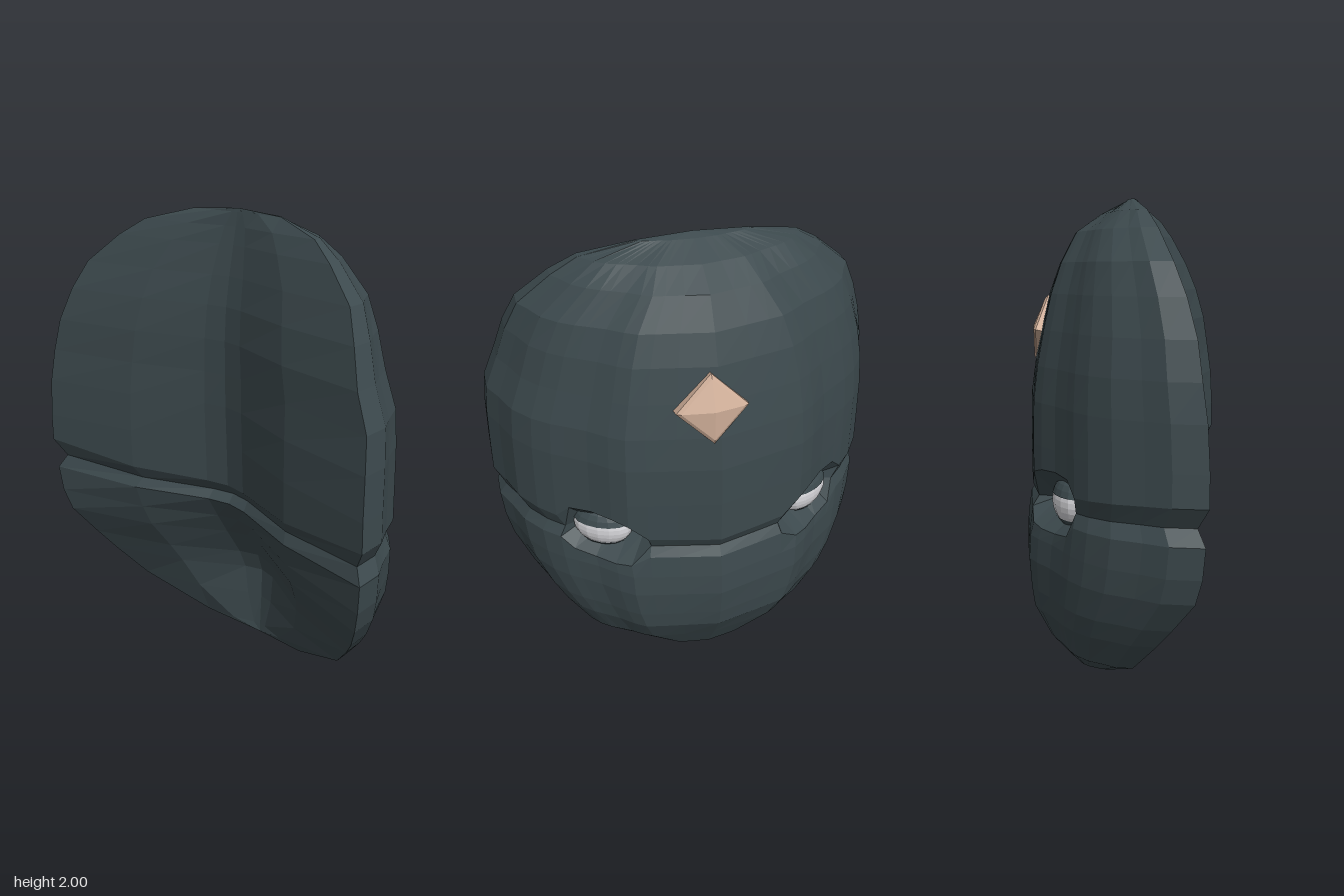
import * as THREE from 'three';

const shellMat = new THREE.MeshStandardMaterial({ name: 'dark slate', color: 0x3c494d, flatShading: true });
const gemMat = new THREE.MeshStandardMaterial({ name: 'tan', color: 0xcfae98, flatShading: true });
const eyeMat = new THREE.MeshStandardMaterial({ name: 'eye white', color: 0xd6d6da, flatShading: true });

// Level sections: y, half width, rim z, inner centre z, outer centre z,
// fullness of the outer curve, lift towards the rim, eye pit depth, eye lip shift in y
const rows = [
  [0, 0.002, -0.07, -0.071, -0.072, 0],
  [0.04, 0.28, -0.01, -0.072, -0.22, 0.25],
  [0.19, 0.58, 0.12, -0.08, -0.305, 0.2],
  [0.33, 0.69, 0.22, -0.085, -0.385, 0.12],
  [0.42, 0.75, 0.28, -0.055, -0.4, 0.1],
  [0.55, 0.82, 0.365, 0.02, -0.415, 0.04],
  [0.65, 0.845, 0.39, 0.08, -0.41, 0],
  [0.75, 0.855, 0.4, 0.14, -0.395, 0, 0.02, 0, -0.06],
  [0.79, 0.82, 0.37, 0.11, -0.365, 0, 0.04, 0.12, 0],
  [0.84, 0.865, 0.41, 0.145, -0.39, 0, 0.07, 0, 0.08],
  [1.03, 0.862, 0.41, 0.15, -0.39, 0],
  [1.2, 0.855, 0.4, 0.155, -0.385, 0],
  [1.34, 0.84, 0.38, 0.155, -0.365, 0],
  [1.48, 0.81, 0.36, 0.155, -0.335, 0],
  [1.62, 0.76, 0.32, 0.145, -0.3, -0.03],
  [1.74, 0.7, 0.27, 0.125, -0.255, -0.1],
  [1.86, 0.56, 0.205, 0.1, -0.19, -0.2],
  [1.93, 0.45, 0.155, 0.085, -0.08, -0.2],
  [1.985, 0.23, 0.085, 0.075, 0.03, -0.2],
  [2, 0.002, 0.07, 0.071, 0.069, 0],
];

// Half outlines as [side, depth, eye weight], from the rim to the centre
const outerHalf = [
  [1, 1, 0], [1, 0.84, 0], [0.95, 0.72, 0], [0.9, 0.57, 0], [0.82, 0.45, 0], [0.74, 0.37, 0],
  [0.68, 0.325, 0.8], [0.585, 0.25, 1], [0.5, 0.165, 1], [0.43, 0.11, 0.8], [0.34, 0.085, 0], [0.2, 0.05, 0],
];
const innerHalf = [[0.5, 0.6], [0.12, 0.08]];
const flip = (list) => list.map(([u, t, e]) => [-u, t, e]);
const outer = [...outerHalf, [0, 0, 0], ...flip(outerHalf).reverse()];
const inner = [...flip(innerHalf), [0, 0], ...[...innerHalf].reverse()];

// Direction in which the eye pits are sunk
const pitOut = new THREE.Vector3(0.65, 0, -0.76);

function shellGeometry() {
  const pos = [], index = [];
  const n = outer.length + inner.length;
  rows.forEach(([y, w, zr, zi, zo, full, lift = 0, pit = 0, lip = 0], r) => {
    // The left side is slightly narrower near the top and its rim sits further back
    const sideWidth = (u) => (u > 0 && y > 1.4 ? 0.965 : 1) * u * w;
    const setBack = (u) => 0.03 * Math.max(0, u) * w;
    for (const [u, t, e] of outer) {
      const push = pit * e;
      pos.push(
        sideWidth(u) * (1 + full * (1 - Math.abs(u))) - Math.sign(u) * pitOut.x * push,
        y + lift * u * u + lip * e,
        zo + (zr - zo - setBack(u)) * t - pitOut.z * push);
    }
    for (const [u, t] of inner) pos.push(sideWidth(u), y + lift * u * u, zi + (zr - zi) * t - setBack(u));
    if (r === rows.length - 1) return;
    for (let j = 0; j < n; j++) {
      const a = r * n + j, b = r * n + (j + 1) % n;
      index.push(a, b, b + n, a, b + n, a + n);
    }
  });
  const g = new THREE.BufferGeometry();
  g.setAttribute('position', new THREE.Float32BufferAttribute(pos, 3));
  g.setIndex(index);
  g.computeVertexNormals();
  return g;
}

function add(parent, name, geometry, material) {
  const m = new THREE.Mesh(geometry, material);
  m.name = name;
  parent.add(m);
  return m;
}

// Eyeball with a heavy upper lid and a thin lower lid
function makeEye(side) {
  const eye = new THREE.Group();
  eye.name = side > 0 ? 'leftEye' : 'rightEye';
  const band = (r, from, to) => new THREE.SphereGeometry(r, 16, 5, 0, Math.PI * 2, from, to - from);
  add(eye, 'eyeball', band(1, 1.2, 2.3), eyeMat);
  add(eye, 'upperLid', band(1.04, 0, 1.27), shellMat);
  add(eye, 'lowerLid', band(1.03, 2.2, Math.PI), shellMat);
  eye.scale.set(0.13, 0.1, 0.075);
  eye.position.set(side * 0.45, 0.82, -0.13);
  eye.rotation.y = Math.atan2(side * 0.48, -0.87);
  return eye;
}

export function createModel() {
  const model = new THREE.Group();
  model.name = 'mask';

  // Thick curved shell with the groove running all the way round
  add(model, 'shell', shellGeometry(), shellMat);

  for (const side of [1, -1]) model.add(makeEye(side));

  // Faceted forehead gem
  const profile = [[0.145, -0.04], [0.143, 0], [0.125, 0.012], [0, 0.04]].map(([x, y]) => new THREE.Vector2(x, y));
  const gem = add(model, 'foreheadGem', new THREE.LatheGeometry(profile, 4), gemMat);
  gem.position.set(0.03, 1.465, -0.342);
  gem.rotation.x = -Math.PI / 2 + 0.2;

  return model;
}
